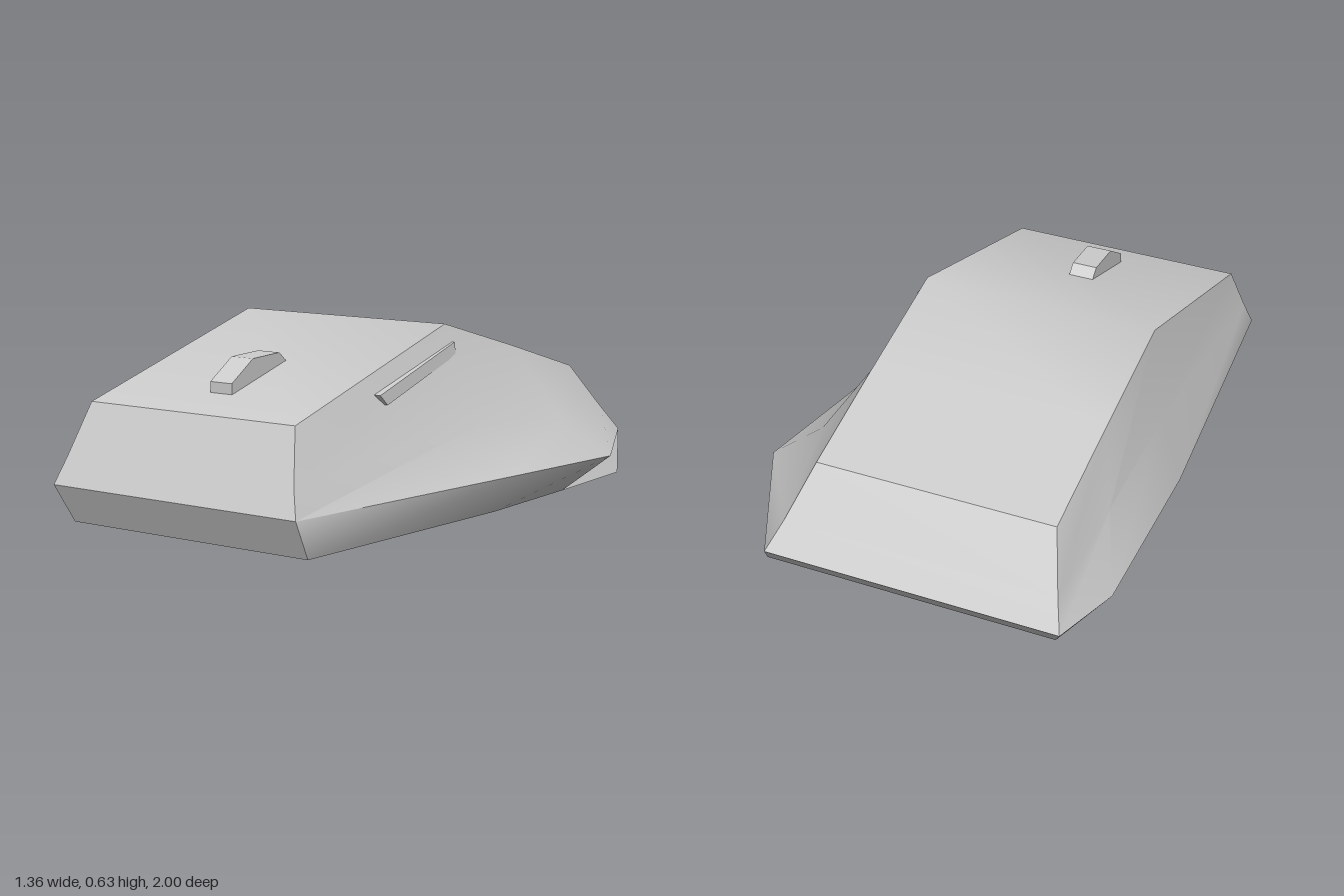
import * as THREE from 'three';
import { toCreasedNormals } from 'three/addons/utils/BufferGeometryUtils.js';

// Each section runs: base, rim, waist, top on the +x side, then top, waist, rim, base on the -x side
const SECTIONS = [
  [[0.43, 0, 0.94], [0.43, 0.13, 1], [0.39, 0.22, 0.956], [0.33, 0.395, 0.87],
    [-0.515, 0.395, 0.87], [-0.548, 0.22, 0.956], [-0.57, 0.13, 1], [-0.535, 0, 0.94]],
  [[0.51, 0, 0], [0.594, 0.133, 0], [0.46, 0.3, 0], [0.33, 0.63, 0.04],
    [-0.515, 0.63, 0.04], [-0.565, 0.3, 0], [-0.645, 0.075, 0], [-0.535, 0, 0]],
  [[0.51, 0, -0.45], [0.675, 0.135, -0.5], [0.5, 0.26, -0.45], [0.33, 0.51, -0.4],
    [-0.515, 0.51, -0.4], [-0.575, 0.27, -0.5], [-0.68, 0.12, -0.73], [-0.54, 0, -0.5]],
  [[0.5, 0, -0.87], [0.43, 0.14, -1], [0.39, 0.23, -0.931], [0.33, 0.395, -0.8],
    [-0.515, 0.395, -0.8], [-0.575, 0.23, -0.931], [-0.61, 0.14, -1], [-0.545, 0, -0.87]],
];

// Closed hull through the sections, capped at both ends
function hullGeometry(sections) {
  const pos = [];
  const quad = (a, b, c, d) => pos.push(...a, ...b, ...c, ...a, ...c, ...d);
  const n = sections[0].length;
  for (let s = 0; s < sections.length - 1; s++) {
    const f = sections[s], b = sections[s + 1];
    for (let k = 0; k < n; k++) {
      const j = (k + 1) % n;
      quad(f[k], b[k], b[j], f[j]);
    }
  }
  const front = sections[0], back = sections[sections.length - 1];
  for (let k = 0; k < n / 2 - 1; k++) {
    const m = n - 1 - k;
    quad(front[k], front[k + 1], front[m - 1], front[m]);
    quad(back[m], back[m - 1], back[k + 1], back[k]);
  }
  const g = new THREE.BufferGeometry();
  g.setAttribute('position', new THREE.Float32BufferAttribute(pos, 3));
  return toCreasedNormals(g, 0.57);
}

// Side profile given as [z, y], extruded from x0 to x1
function profileGeometry(points, x0, x1) {
  const shape = new THREE.Shape(points.map(([z, y]) => new THREE.Vector2(-z, y)));
  const g = new THREE.ExtrudeGeometry(shape, { depth: x1 - x0, bevelEnabled: false });
  return g.rotateY(Math.PI / 2).translate(x0, 0, 0);
}

export function createModel() {
  const group = new THREE.Group();
  const material = new THREE.MeshStandardMaterial({ color: 0xcccccc });
  const add = (name, geometry) => {
    const mesh = new THREE.Mesh(geometry, material);
    mesh.name = name;
    group.add(mesh);
    return mesh;
  };

  add('body', hullGeometry(SECTIONS));

  // Faceted wheel standing out of the front slope
  add('scrollWheel', profileGeometry(
    [[0.715, 0.41], [0.715, 0.475], [0.605, 0.545], [0.465, 0.55], [0.425, 0.515], [0.425, 0.45]],
    -0.135, -0.045));

  // Slim slanted button on the +x flank, leaning with the wall
  const button = profileGeometry(
    [[0.485, 0.445], [0.45, 0.41], [0.03, 0.527], [0.03, 0.57]], 0.335, 0.372);
  button.applyMatrix4(new THREE.Matrix4().makeShear(0, 0, -0.12, 0, 0, 0));
  const p = button.attributes.position;
  for (let i = 0; i < p.count; i++) p.setX(i, p.getX(i) + 0.06);
  button.computeVertexNormals();
  add('sideButton', button);

  return group;
}
